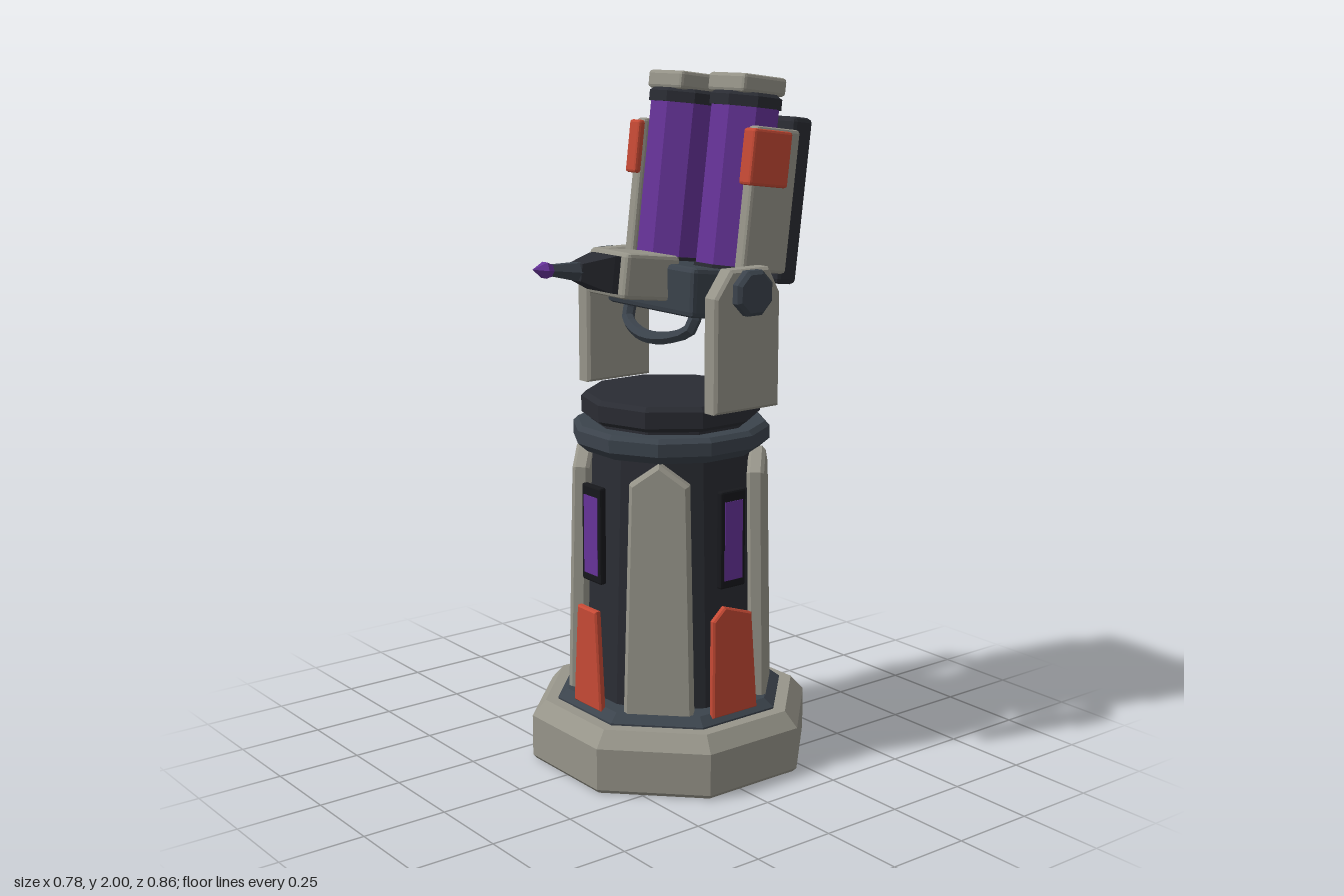
import * as THREE from 'three';
import { RoundedBoxGeometry } from 'three/addons/geometries/RoundedBoxGeometry.js';

const paint = (color) => new THREE.MeshStandardMaterial({ color, flatShading: true });
const stone = paint(0x97958a), dark = paint(0x2a2c33), steel = paint(0x3b434c),
  black = paint(0x17181c), purple = paint(0x663399), orange = paint(0xc64a35);

function add(parent, name, geometry, material, x = 0, y = 0, z = 0) {
  const mesh = new THREE.Mesh(geometry, material);
  mesh.name = name;
  mesh.position.set(x, y, z);
  parent.add(mesh);
  return mesh;
}

// Box with chamfered edges
const box = (w, h, d, bevel = 0.01) => new RoundedBoxGeometry(w, h, d, 1, bevel);

// Many-sided turned solid: profile of [distance to flat, height], a flat facing +z
function prism(profile, sides, start = Math.PI / sides) {
  const k = 1 / Math.cos(Math.PI / sides);
  return new THREE.LatheGeometry(profile.map(([r, y]) => new THREE.Vector2(r * k, y)), sides, start);
}

// Flat outline with thickness along z and chamfered rims
function plate(points, thickness, bevel = 0.006) {
  const shape = new THREE.Shape(points.map(([x, y]) => new THREE.Vector2(x, y)));
  const geometry = new THREE.ExtrudeGeometry(shape, {
    depth: thickness - 2 * bevel, bevelEnabled: true, bevelThickness: bevel,
    bevelSize: bevel, bevelOffset: -bevel, bevelSegments: 1,
  });
  return geometry.translate(0, 0, bevel);
}

function buildColumn() {
  const column = new THREE.Group();
  column.name = 'column';
  column.position.z = -0.045;

  add(column, 'base', prism([[0, 0], [0.38, 0], [0.39, 0.012], [0.39, 0.135], [0.353, 0.18], [0, 0.18]], 8), stone);
  add(column, 'plinth', prism([[0.318, 0.17], [0.318, 0.185], [0.29, 0.208], [0, 0.208]], 8), steel);
  add(column, 'shaft', prism([[0.25, 0.2], [0.225, 0.95]], 12), dark);
  add(column, 'collar', prism([[0, 0.935], [0.25, 0.935], [0.278, 0.96], [0.278, 0.997], [0.265, 1.01], [0, 1.01]], 12), steel);
  add(column, 'neck', prism([[0.22, 1.0], [0.22, 1.03]], 10, 0), dark);
  add(column, 'topCap', prism([[0, 1.02], [0.23, 1.02], [0.247, 1.033], [0.247, 1.08], [0.235, 1.093], [0, 1.093]], 10, 0), dark);

  const around = (name, angle) => {
    const side = new THREE.Group();
    side.name = name;
    side.rotation.y = angle;
    column.add(side);
    return side;
  };

  for (let i = 0; i < 4; i++) {
    // Pointed buttress on each diagonal
    const diagonal = around('buttressSide', Math.PI / 4 + i * Math.PI / 2);
    const buttress = add(diagonal, 'buttress',
      plate([[-0.1, 0], [0.1, 0], [0.084, 0.68], [0, 0.74], [-0.084, 0.68]], 0.05, 0.01), stone, 0, 0.195, 0.242);
    buttress.rotation.x = -0.02;

    // Painted guard plate on each flat, with a lit window on all but the back
    const flat = around('guardSide', i * Math.PI / 2);
    const outline = i === 0
      ? [[-0.066, 0.195], [0.066, 0.195], [0.045, 0.492], [-0.045, 0.492]]
      : [[-0.085, 0.195], [0.08, 0.195], [0.056, 0.488], [-0.043, 0.522], [-0.085, 0.485]];
    add(flat, 'guardPlate', plate(outline, 0.022, 0.005), orange, 0, 0, 0.286);
    if (i !== 2) {
      add(flat, 'windowFrame', box(0.09, 0.285, 0.022, 0.006), black, 0, 0.71, 0.277);
      add(flat, 'windowPane', new THREE.BoxGeometry(0.064, 0.23, 0.012), purple, 0, 0.707, 0.284);
    }
  }
  return column;
}

function buildArm(side) {
  const arm = new THREE.Group();
  arm.name = side > 0 ? 'leftArm' : 'rightArm';
  // Outline is drawn in z and y, then turned to face sideways
  const outline = [[-0.055, 1.085], [0.177, 1.085], [0.177, 1.405], [0.135, 1.48], [0, 1.48], [-0.055, 1.405]];
  const geometry = plate(outline, 0.056, 0.008).rotateY(Math.PI / 2);
  add(arm, 'armPlate', geometry, stone, side > 0 ? 0.269 : -0.325);
  const knob = prism([[0, 0], [0.062, 0], [0.062, 0.022], [0.052, 0.032], [0, 0.032]], 8).rotateZ(-side * Math.PI / 2);
  add(arm, 'pivotKnob', knob, steel, side * 0.323, 1.415, -0.065);
  return arm;
}

function buildHead() {
  const head = new THREE.Group();
  head.name = 'head';
  head.position.set(0, 1.415, -0.065);
  head.rotation.x = -0.122;

  add(head, 'backPanel', box(0.462, 0.47, 0.075, 0.014), dark, 0, 0.253, -0.215);

  // Cradle whose underside narrows
  const cradle = box(0.42, 0.14, 0.27, 0.015);
  const p = cradle.attributes.position;
  for (let i = 0; i < p.count; i++) {
    if (p.getY(i) < 0) { p.setX(i, p.getX(i) * 0.96); p.setZ(i, p.getZ(i) * 0.88); }
  }
  add(head, 'cradle', cradle, steel, 0, -0.02, -0.025);

  for (const side of [-1, 1]) {
    // Upright canister with sleeve, band and lid
    const canister = new THREE.Group();
    canister.name = side > 0 ? 'leftCanister' : 'rightCanister';
    canister.position.set(side * 0.138, 0, -0.075);
    head.add(canister);
    add(canister, 'sleeve', prism([[0, 0], [0.09, 0], [0.097, 0.01], [0.097, 0.06], [0, 0.06]], 8), dark);
    add(canister, 'tube', prism([[0.092, 0.055], [0.092, 0.505]], 8), purple);
    add(canister, 'band', prism([[0, 0.5], [0.098, 0.5], [0.098, 0.53], [0.085, 0.54], [0, 0.54]], 8), dark);
    add(canister, 'lid', box(0.158, 0.052, 0.158, 0.01), stone, 0, 0.563, 0.002);

    // Cheek plate with painted cover
    add(head, 'cheekPlate', box(0.042, 0.4, 0.16, 0.01), stone, side * 0.253, 0.25, -0.09);
    add(head, 'cheekCover', box(0.05, 0.155, 0.14, 0.008), orange, side * 0.26, 0.365, -0.063);
  }

  // Forward emitter
  const emitter = new THREE.Group();
  emitter.name = 'emitter';
  emitter.position.y = 0.008;
  head.add(emitter);
  add(emitter, 'emitterHousing', box(0.184, 0.128, 0.186, 0.012), stone, 0, 0, 0.158);
  const nozzle = prism([[0, 0.245], [0.062, 0.245], [0.06, 0.27], [0.028, 0.355], [0, 0.355]], 4)
    .rotateX(Math.PI / 2).scale(1, 0.85, 1);
  add(emitter, 'nozzle', nozzle, dark);
  add(emitter, 'barrel', prism([[0.026, 0.35], [0.015, 0.445]], 6).rotateX(Math.PI / 2), steel);
  add(emitter, 'crystalTip', prism([[0, 0.425], [0.015, 0.437], [0.022, 0.46], [0, 0.499]], 6).rotateX(Math.PI / 2), purple);
  return head;
}

export function createModel() {
  const model = new THREE.Group();
  model.name = 'turret';
  model.add(buildColumn(), buildArm(1), buildArm(-1), buildHead());

  // Hose slung below the cradle
  const path = new THREE.CatmullRomCurve3([
    [-0.15, 1.35, -0.02], [-0.145, 1.295, 0], [-0.08, 1.266, 0.02], [0, 1.257, 0.03],
    [0.08, 1.266, 0.02], [0.145, 1.295, 0], [0.15, 1.35, -0.02],
  ].map((v) => new THREE.Vector3(...v)));
  add(model, 'hose', new THREE.TubeGeometry(path, 14, 0.019, 6), steel);
  return model;
}
